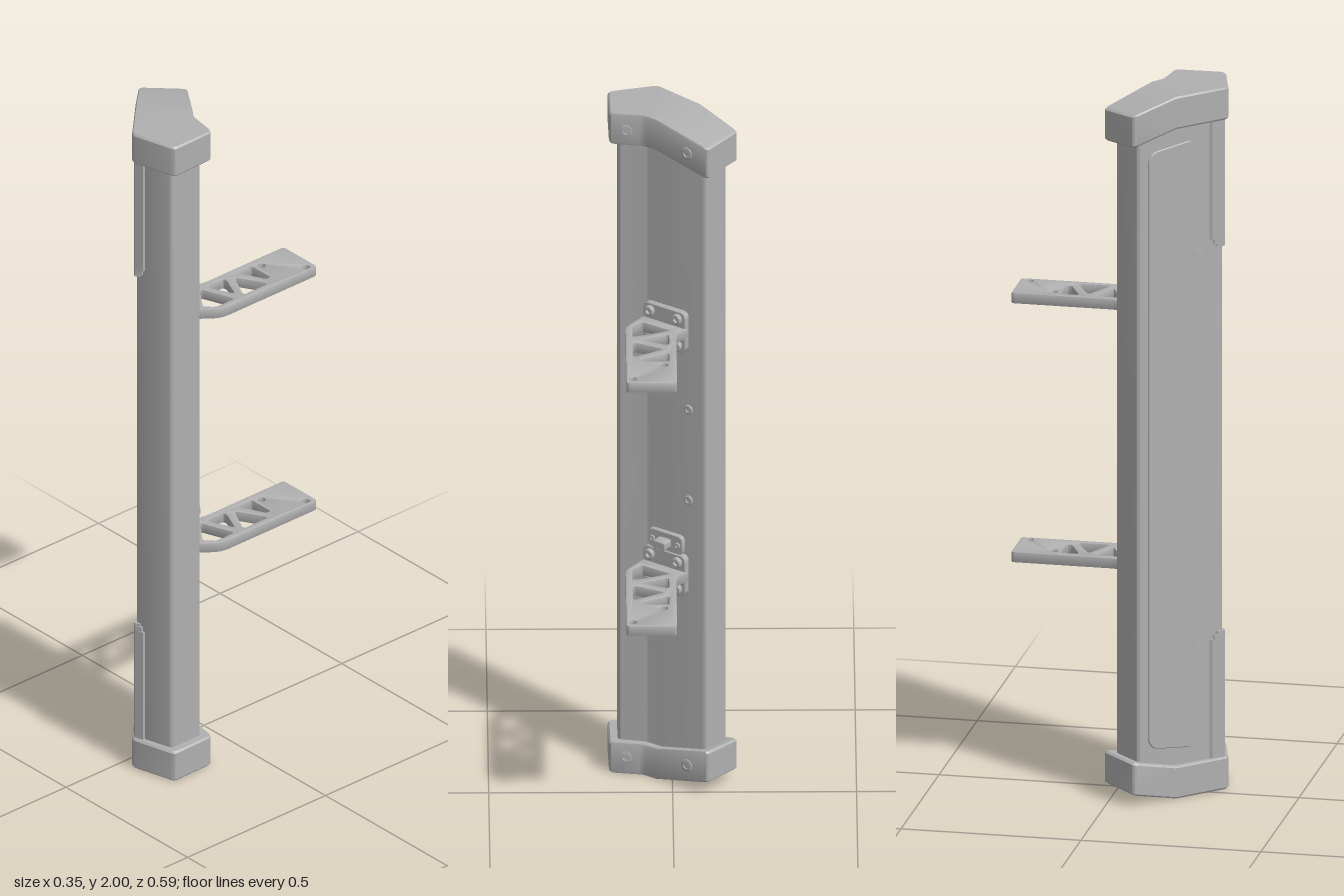
import * as THREE from 'three';
import { toCreasedNormals } from 'three/addons/utils/BufferGeometryUtils.js';

const grey = new THREE.MeshStandardMaterial({ color: 0xb0b0b0 });
grey.name = 'satin grey';

const V = (x, y) => new THREE.Vector2(x, y);

// Replaces every corner of a polygon by a short curve
function rounded(pts, r, steps = 4) {
  const out = [];
  pts.forEach(([x, y], i) => {
    const p = V(x, y);
    const a = V(...pts[(i + pts.length - 1) % pts.length]).sub(p);
    const b = V(...pts[(i + 1) % pts.length]).sub(p);
    a.setLength(Math.min(r, a.length() * 0.45)).add(p);
    b.setLength(Math.min(r, b.length() * 0.45)).add(p);
    out.push(...new THREE.QuadraticBezierCurve(a, p, b).getPoints(steps));
  });
  return out;
}

function add(parent, name, geometry, x = 0, y = 0, z = 0) {
  const mesh = new THREE.Mesh(toCreasedNormals(geometry, 0.5), grey);
  mesh.name = name;
  mesh.position.set(x, y, z);
  parent.add(mesh);
  return mesh;
}

// Raises a plan outline given as (x, z) from y0 to y1
function raise(points, y0, y1, holes = [], bevel = 0) {
  const flip = (list) => list.map((p) => V(p.x, -p.y));
  const shape = new THREE.Shape(flip(points));
  holes.forEach((h) => shape.holes.push(new THREE.Path(flip(h))));
  const g = new THREE.ExtrudeGeometry(shape, {
    depth: y1 - y0 - 2 * bevel, bevelEnabled: bevel > 0, bevelSize: bevel,
    bevelThickness: bevel, bevelOffset: -bevel, bevelSegments: 2,
  });
  return g.rotateX(-Math.PI / 2).translate(0, y0 + bevel, 0);
}

// Plate in the local xy plane with its back at z = 0
function plate(points, depth, bevel = 0.002) {
  return new THREE.ExtrudeGeometry(new THREE.Shape(points), {
    depth: depth - bevel, bevelEnabled: true, bevelSize: bevel,
    bevelThickness: bevel, bevelOffset: -bevel, bevelSegments: 1,
  });
}

const rect = (w, h, r) => rounded([[-w / 2, -h / 2], [w / 2, -h / 2], [w / 2, h / 2], [-w / 2, h / 2]], r);

// Bent end cap: s = 1 for the top, -1 for the bottom
function capGeometry(s) {
  const flat = rounded([[0.08, 0.107], [0.172, 0.122], [0.175, 0.26], [0.04, 0.296]], 0.012, 3);
  const slope = rounded([[-0.178, 0.078], [-0.095, -0.023]], 0.012, 3);
  // the lone pairs above are rounded again here as one closed outline
  const all = rounded([[0.08, 0.107], [0.172, 0.122], [0.175, 0.26], [0.04, 0.296],
    [-0.178, 0.078], [-0.095, -0.023]], 0.012, 3);
  const nA = flat.length;
  const c1 = V(0.045, 0.081), c2 = V(-0.08, 0.176);
  const outline = [...all.slice(0, nA), c2, ...all.slice(nA, nA + slope.length), c1];
  const n = outline.length, centre = V(0.02, 0.14);
  const away = V(-0.605, -0.796);
  const middle = new THREE.Vector3(centre.x, 1 + s * 0.955, centre.y);
  const rings = [[0.03, 0.908], [0, 0.913], [0, 0.995], [0.03, 1]].map(([inset, h]) =>
    outline.map((p) => {
      const drop = 0.23 * Math.max(0, p.clone().sub(c1).dot(away));
      const q = p.clone().lerp(centre, inset);
      return new THREE.Vector3(q.x, 1 + s * (h - drop), q.y);
    }));
  const pos = [];
  const tri = (a, b, c) => {
    const normal = b.clone().sub(a).cross(c.clone().sub(a));
    const order = normal.dot(a.clone().add(b).add(c).divideScalar(3).sub(middle)) > 0 ? [a, b, c] : [a, c, b];
    order.forEach((v) => pos.push(v.x, v.y, v.z));
  };
  for (let k = 0; k < 3; k++) {
    for (let i = 0; i < n; i++) {
      const j = (i + 1) % n;
      tri(rings[k][i], rings[k][j], rings[k + 1][j]);
      tri(rings[k][i], rings[k + 1][j], rings[k + 1][i]);
    }
  }
  const index = outline.map((_, i) => i);
  const faces = [[...index.slice(0, nA + 1), n - 1], index.slice(nA)];
  for (const ring of [rings[0], rings[3]]) {
    for (const face of faces) {
      const contour = face.map((i) => V(ring[i].x, ring[i].z));
      THREE.ShapeUtils.triangulateShape(contour, []).forEach((t) => tri(...t.map((i) => ring[face[i]])));
    }
  }
  const g = new THREE.BufferGeometry();
  g.setAttribute('position', new THREE.Float32BufferAttribute(pos, 3));
  g.computeVertexNormals();
  return g;
}

// Socket screw pointing along local +z
function screw(parent, name, x, y, z, r = 0.013, depth = 0.01) {
  const profile = [[r, 0], [r, depth * 0.8], [r * 0.85, depth], [r * 0.5, depth], [r * 0.45, depth * 0.4], [0, depth * 0.4]];
  const g = new THREE.LatheGeometry(profile.map((p) => V(...p)), 18).rotateX(Math.PI / 2);
  return add(parent, name, g, x, y, z);
}

// Group standing on a wall, its local z pointing out along (nx, nz)
function onWall(parent, name, x, y, z, nx, nz) {
  const g = new THREE.Group();
  g.name = name;
  g.position.set(x, y, z);
  g.rotation.y = Math.atan2(nx, nz);
  parent.add(g);
  return g;
}

export function createModel() {
  const model = new THREE.Group();
  model.name = 'wall column';

  // Column profile
  const body = rounded([[-0.09, 0.01], [0.07, 0.125], [0.148, 0.142], [0.15, 0.248], [0.04, 0.278], [-0.148, 0.085]], 0.01);
  add(model, 'column', raise(body, 0.07, 1.93));

  // End caps with their rear screws
  for (const s of [1, -1]) {
    const label = s > 0 ? 'top' : 'bottom';
    add(model, label + 'Cap', capGeometry(s));
    const a = onWall(model, label + 'CapScrewA', -0.038, 1 + s * 0.928, 0.018, 0.593, -0.805);
    const b = onWall(model, label + 'CapScrewB', 0.126, 1 + s * 0.95, 0.1145, 0.164, -0.986);
    [a, b].forEach((g) => screw(g, 'capScrew', 0, 0, -0.001, 0.018, 0.004));
  }

  // Notched cover on the slanted front face
  const cover = onWall(model, 'frontCover', -0.146, 0, 0.087, -Math.SQRT1_2, Math.SQRT1_2);
  const side = [[0.17, 1.865], [0.17, 1.57], [0.212, 1.52], [0.212, 0.48], [0.17, 0.43], [0.17, 0.135], [0.045, 0.15], [0.028, 0.17], [0.028, 1.83], [0.045, 1.85]];
  add(cover, 'coverPlate', plate(rounded(side, 0.012), 0.005));

  // Corner strips at both ends of the front edge
  const strip = (w) => [V(0.012 + w, 0.247 + w), V(0.012 + w, 0.257 + w), V(0.034, 0.283), V(0.042, 0.286), V(0.066 - w, 0.278), V(0.066 - w, 0.265), V(0.04, 0.265)];
  for (const s of [1, -1]) {
    [[0, 0.57, 0.92], [0.006, 0.556, 0.57], [0.013, 0.548, 0.556]].forEach(([w, a, b]) => {
      const y = [1 + s * a, 1 + s * b].sort((p, q) => p - q);
      add(model, 'cornerStrip', raise(strip(w), y[0], y[1]));
    });
  }

  // Two brackets: pierced arm, wall flange and four screws
  const arm = [...rounded([[0.128, 0.045], [0.128, -0.298], [-0.01, -0.298], [-0.01, -0.005]], 0.01).slice(5, 15),
    V(-0.01, -0.02), V(-0.013, 0), V(-0.02, 0.015), V(-0.033, 0.024), V(-0.04, 0.035), V(0.075, 0.118),
    V(0.092, 0.094), V(0.116, 0.063), V(0.125, 0.045), V(0.128, 0.025)];
  const windows = [
    [[0.01, -0.165], [0.087, -0.165], [0.087, -0.15], [0.018, -0.116], [0.01, -0.118]],
    [[0.1, -0.134], [0.109, -0.132], [0.109, -0.052], [0.1, -0.052], [0.024, -0.09]],
    [[0.01, -0.062], [0.024, -0.062], [0.089, -0.034], [0.02, -0.003], [0.01, -0.005]],
    [[0.109, -0.012], [0.109, 0.05], [0.084, 0.077], [0.012, 0.026], [0.014, 0.02], [0.1, -0.012]],
  ].map((w) => rounded(w, 0.008));
  const drill = (x, z) => new THREE.Path().absarc(x, z, 0.011, 0, Math.PI * 2).getPoints(20).slice(0, -1);
  const holes = [...windows, drill(0.11, -0.272), drill(0.025, -0.187)];
  for (const y of [1.375, 0.637]) {
    const bracket = new THREE.Group();
    bracket.name = y > 1 ? 'upperBracket' : 'lowerBracket';
    model.add(bracket);
    add(bracket, 'bracketArm', raise(arm, y - 0.015, y + 0.015, holes, 0.002));
    const flange = onWall(bracket, 'flange', 0.012, y, 0.085, 0.593, -0.805);
    add(flange, 'flangePlate', plate(rect(0.14, 0.122, 0.018), 0.018));
    for (const x of [-0.046, 0.046]) {
      for (const dy of [-0.04, 0.04]) screw(flange, 'flangeScrew', x, dy, 0.017, 0.015, 0.013);
    }
  }

  // Cable socket above the lower bracket
  const socket = onWall(model, 'cableSocket', 0.012, 0.724, 0.085, 0.593, -0.805);
  add(socket, 'socketPlate', plate(rect(0.115, 0.056, 0.016), 0.014));
  add(socket, 'socketPlug', plate(rect(0.042, 0.024, 0.008), 0.045), 0, 0, 0);
  for (const x of [-0.042, 0.042]) screw(socket, 'socketScrew', x, 0, 0.013, 0.009, 0.006);

  // Small screws on the rear wall
  for (const y of [1.14, 0.865]) {
    const g = onWall(model, 'wallScrew', 0.012, y, 0.085, 0.593, -0.805);
    screw(g, 'wallScrewHead', 0.07, 0, -0.001, 0.014, 0.007);
  }
  return model;
}
